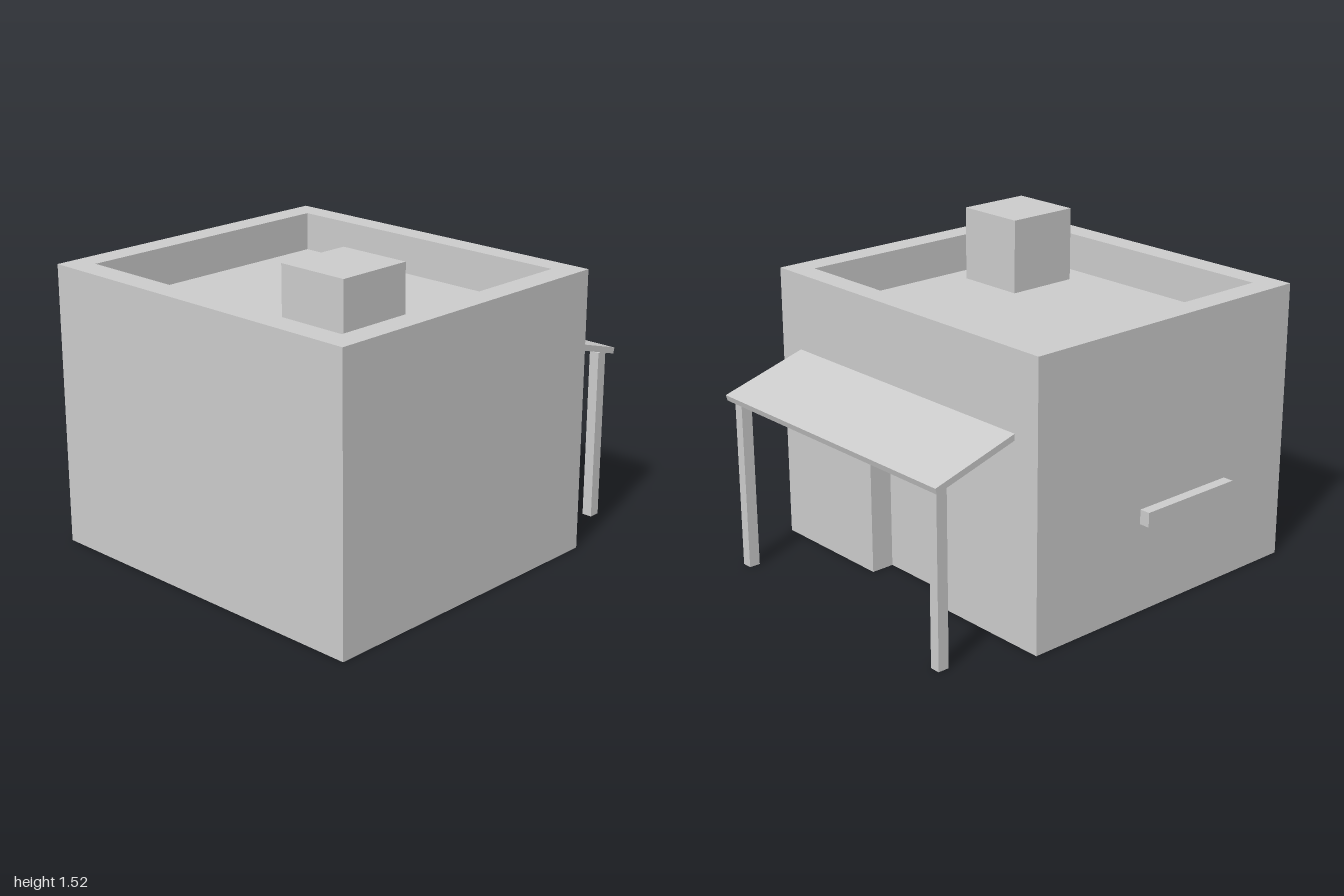
import * as THREE from 'three';

export function createModel() {
  const model = new THREE.Group();
  model.name = 'house';
  const plaster = new THREE.MeshStandardMaterial({ color: 0xcccccc });
  plaster.name = 'plain grey';

  const add = (name, geometry, parent = model) => {
    const mesh = new THREE.Mesh(geometry, plaster);
    mesh.name = name;
    parent.add(mesh);
    return mesh;
  };

  // Box given by its limits on each axis
  const box = (x0, x1, y0, y1, z0, z1) =>
    new THREE.BoxGeometry(x1 - x0, y1 - y0, z1 - z0)
      .translate((x0 + x1) / 2, (y0 + y1) / 2, (z0 + z1) / 2);

  // Floor plan of [x, z] corners raised from y0 to y1, with an optional hole
  const plan = (points) => points.map(([x, z]) => new THREE.Vector2(x, -z));
  const raise = (points, y0, y1, hole) => {
    const shape = new THREE.Shape(plan(points));
    if (hole) shape.holes.push(new THREE.Path(plan(hole)));
    return new THREE.ExtrudeGeometry(shape, { depth: y1 - y0, bevelEnabled: false })
      .rotateX(-Math.PI / 2).translate(0, y0, 0);
  };
  const rect = (x0, x1, z0, z1) => [[x0, z1], [x1, z1], [x1, z0], [x0, z0]];

  const L = -0.86, R = 0.91, B = -0.57, F = 1;
  const doorTop = 0.74, roofY = 1.16, wallTop = 1.345;

  // Lower walls, with the door recess cut into the back
  add('lowerWalls', raise([
    [L, F], [R, F], [R, B], [0.26, B], [0.26, -0.455],
    [-0.21, -0.455], [-0.21, B], [L, B],
  ], 0, doorTop));

  // Upper walls and flat roof
  add('upperWalls', box(L, R, doorTop, roofY, B, F));

  // Parapet around the roof
  add('parapet', raise(rect(L, R, B, F), roofY, wallTop, rect(-0.74, 0.79, -0.46, 0.88)));

  // Chimney block on the roof
  add('chimney', box(0.32, 0.675, roofY, 1.52, 0.38, 0.75));

  // Ledge on the side wall
  add('sideLedge', box(-0.912, L, 0.43, 0.5, 0.05, 0.6));

  // Porch: sloping canopy on two posts
  const porch = new THREE.Group();
  porch.name = 'porch';
  model.add(porch);
  const profile = new THREE.Shape([[B, 0.975], [-1, 0.85], [-0.992, 0.822], [B, 0.945]]
    .map(([z, y]) => new THREE.Vector2(z, y)));
  add('canopy', new THREE.ExtrudeGeometry(profile, { depth: 1.49, bevelEnabled: false })
    .rotateY(-Math.PI / 2).translate(0.77, 0, 0), porch);
  for (const [name, x] of [['leftPost', 0.69], ['rightPost', -0.69]]) {
    add(name, box(x, x + 0.05, 0, 0.835, -0.97, -0.915), porch);
  }

  return model;
}
